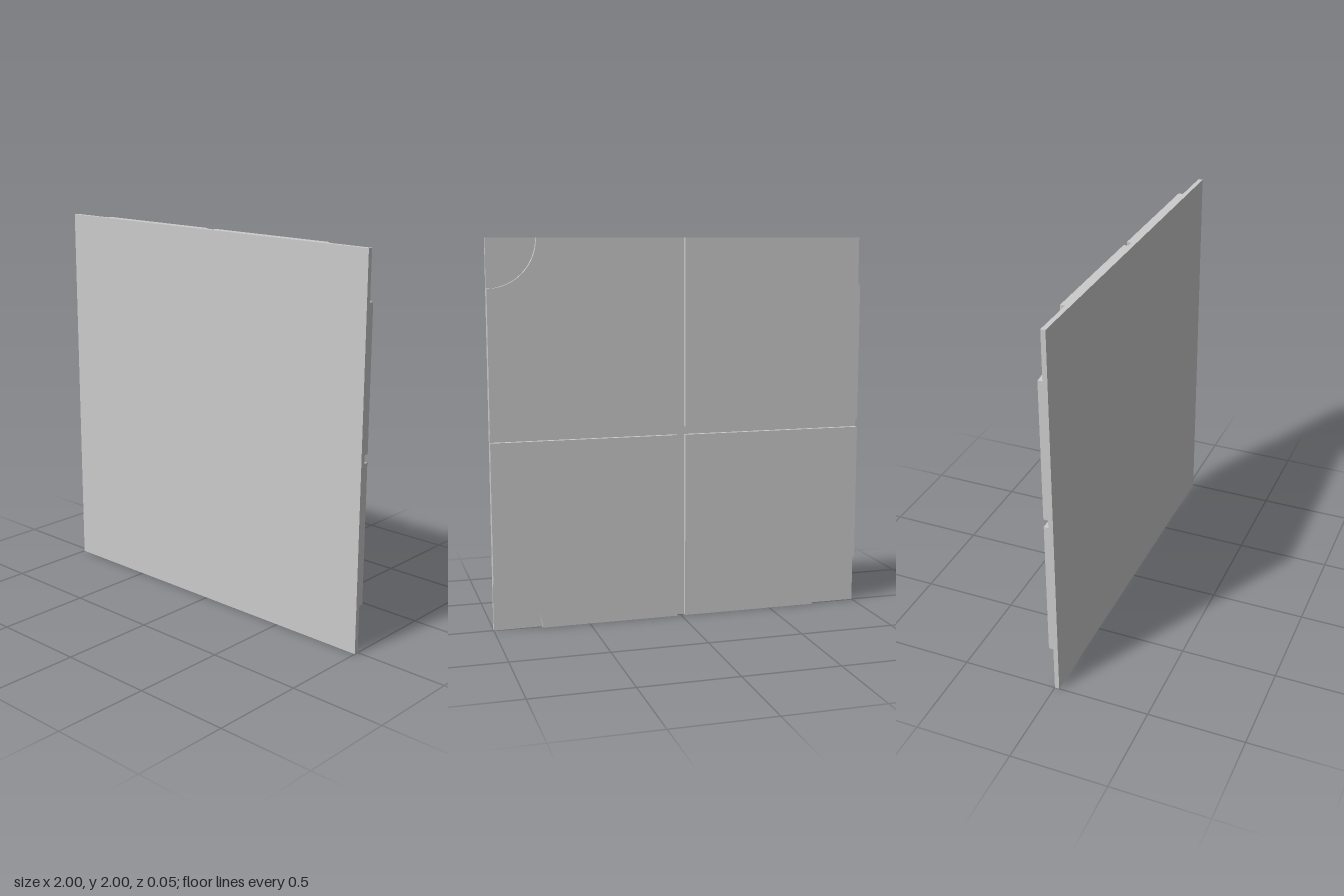
import * as THREE from 'three';

export function createModel() {
  const group = new THREE.Group();
  const material = new THREE.MeshStandardMaterial({ color: 0xcccccc });
  const half = 0.024;      // half of the full thickness
  const gap = 0.021;       // half of the groove width
  const radius = 0.25;     // corner recess

  // Flat front slab
  const slab = new THREE.Mesh(new THREE.BoxGeometry(2, 2, half), material);
  slab.name = 'frontSlab';
  slab.position.set(0, 1, half / 2);
  group.add(slab);

  // Raised back pad: a square with a quarter circle cut from its outer corner
  const outline = new THREE.Shape();
  outline.moveTo(gap, gap);
  outline.lineTo(1, gap);
  outline.lineTo(1, 1 - radius);
  outline.absarc(1, 1, radius, Math.PI * 1.5, Math.PI, true);
  outline.lineTo(gap, 1);
  outline.closePath();
  const padGeometry = new THREE.ExtrudeGeometry(outline, {
    depth: half, bevelEnabled: false, curveSegments: 16,
  });

  // Four pads, leaving the crossing grooves between them
  const names = ['upperLeftPad', 'upperRightPad', 'lowerRightPad', 'lowerLeftPad'];
  names.forEach((name, i) => {
    const pad = new THREE.Mesh(padGeometry, material);
    pad.name = name;
    pad.position.set(0, 1, -half);
    pad.rotation.z = i * Math.PI / 2;
    group.add(pad);
  });

  return group;
}
